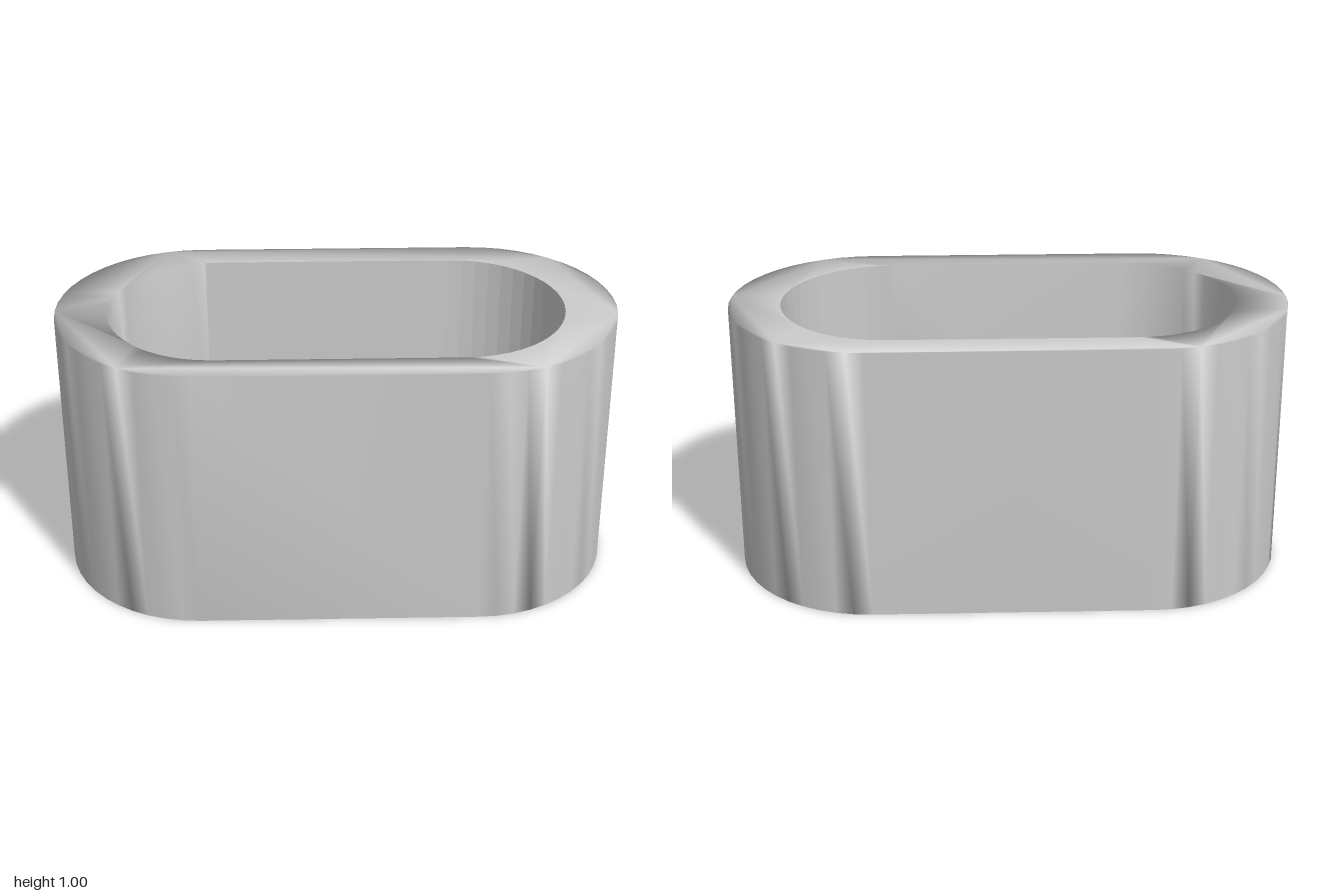
import * as THREE from 'three';
import { mergeVertices } from 'three/addons/utils/BufferGeometryUtils.js';

const ARC_SEGMENTS = 12; // per rounded end

// Two half circles joined by straight sides
function stadium(path, halfLength, radius) {
  const c = halfLength - radius;
  path.absarc(c, 0, radius, -Math.PI / 2, Math.PI / 2, false);
  path.absarc(-c, 0, radius, Math.PI / 2, Math.PI * 1.5, false);
  path.closePath();
  return path;
}

// Copy a run of vertices into a new geometry
function slice(source, start, end) {
  const positions = source.getAttribute('position').array.slice(start * 3, end * 3);
  const geometry = new THREE.BufferGeometry();
  geometry.setAttribute('position', new THREE.BufferAttribute(positions, 3));
  return geometry;
}

export function createModel() {
  const group = new THREE.Group();
  group.name = 'ovalSleeve';

  const outline = stadium(new THREE.Shape(), 1, 0.5);
  outline.holes.push(stadium(new THREE.Path(), 0.815, 0.385));
  const sleeve = new THREE.ExtrudeGeometry(outline, {
    depth: 1, bevelEnabled: false, curveSegments: ARC_SEGMENTS,
  });
  sleeve.rotateX(-Math.PI / 2);

  // The bore is the last run of side faces
  const total = sleeve.getAttribute('position').count;
  const split = total - 2 * (ARC_SEGMENTS + 1) * 6;

  // Outer wall and rims share smooth normals
  const shell = mergeVertices(slice(sleeve, 0, split));
  shell.computeVertexNormals();
  const outer = new THREE.Mesh(shell, new THREE.MeshStandardMaterial({ color: 0xcccccc }));
  outer.name = 'outerShell';

  // Faceted inner wall
  const bore = slice(sleeve, split, total);
  bore.computeVertexNormals();
  const inner = new THREE.Mesh(bore, new THREE.MeshStandardMaterial({ color: 0xcccccc, flatShading: true }));
  inner.name = 'innerWall';

  group.add(outer, inner);
  return group;
}
